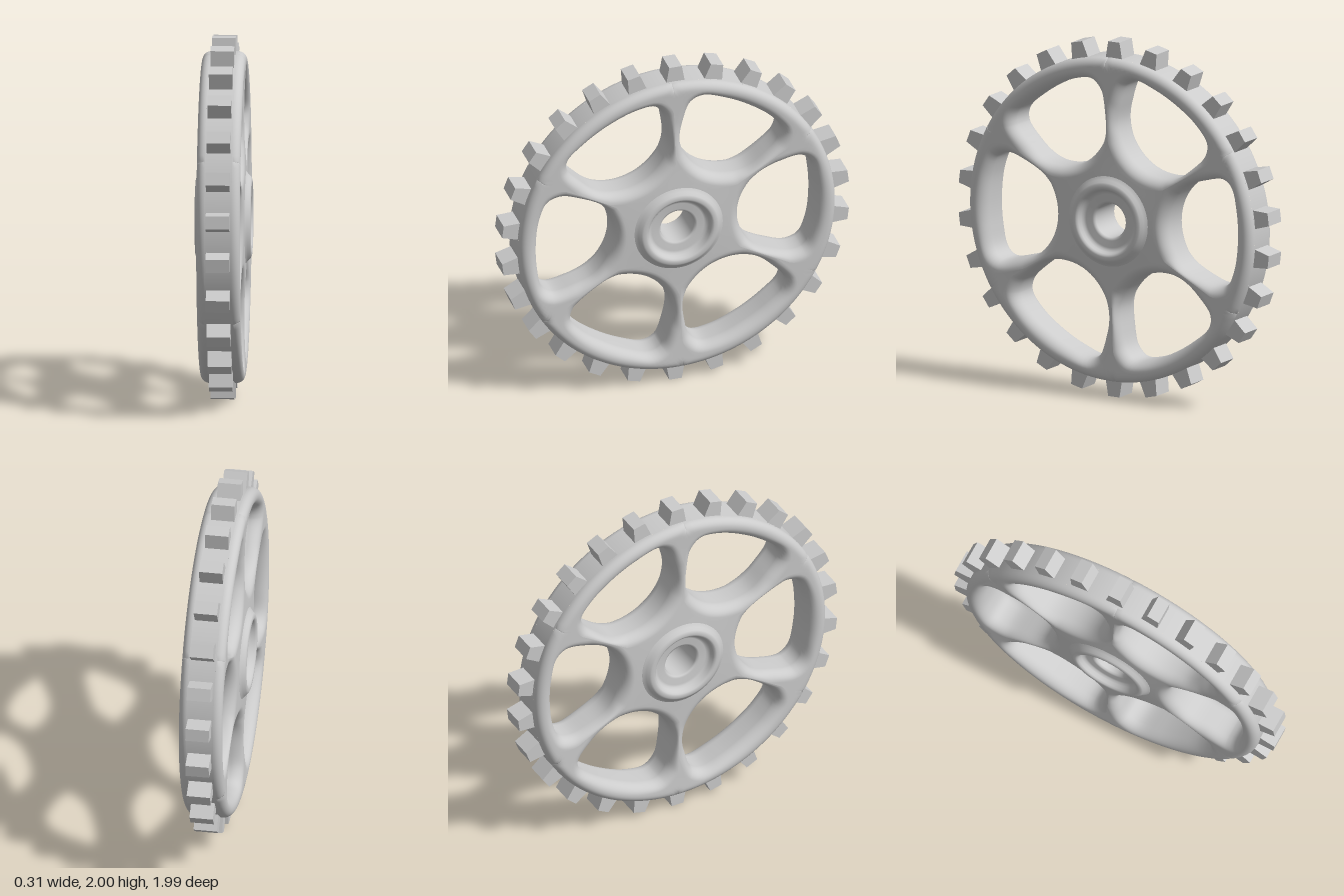
import * as THREE from 'three';
import { mergeVertices } from 'three/addons/utils/BufferGeometryUtils.js';

const TEETH = 26, SPOKES = 6, RIM = 0.91, HUB = 0.2, SKEW = 0.03;
const ARC = 28, SIDE = 28, INNER = 10;

// Outline of one window in wheel-plane coordinates (window centred on the u axis).
const windowPoints = [
  [0.353, 0.02], [0.385, 0.14], [0.47, 0.245], [0.59, 0.292], [0.71, 0.312],
  [0.768, 0.27], [0.797, 0.14], [0.803, -0.02], [0.785, -0.17], [0.742, -0.27],
  [0.67, -0.295], [0.56, -0.268], [0.44, -0.208], [0.373, -0.1],
];

// Half thickness of the wheel face by radius, with the rim's outer corner rounded.
function faceHeight(r) {
  const k = Math.min(Math.max((r - 0.24) / 0.62, 0), 1);
  const q = Math.min(Math.max((r - 0.865) / 0.045, 0), 1);
  return 0.123 - 0.003 * k - 0.01 * Math.sin(Math.PI * k) - 0.045 * (1 - Math.sqrt(1 - q * q));
}

// Border of one sixth of the wheel, counter-clockwise.
function sectorBorder() {
  const a0 = -Math.PI / SPOKES + SKEW, a1 = Math.PI / SPOKES + SKEW, pts = [];
  const run = (n, ra, rb, aa, ab) => {
    for (let i = 0; i < n; i++) {
      const r = ra + (rb - ra) * i / n, a = aa + (ab - aa) * i / n;
      pts.push([r * Math.cos(a), r * Math.sin(a)]);
    }
  };
  run(SIDE, HUB, RIM, a0, a0);
  run(ARC, RIM, RIM, a0, a1);
  run(SIDE, RIM, HUB, a1, a1);
  run(INNER, HUB, HUB, a1, a0);
  return pts;
}

// Rim, spokes and web: each sector is swept from its border to the window and round to the back.
function wheelGeometry() {
  const curve = new THREE.CatmullRomCurve3(
    windowPoints.map(([u, v]) => new THREE.Vector3(u, v, 0)), true, 'centripetal');
  const dense = curve.getPoints(1500);
  const cu = 0.6, cv = 0;
  const onWindow = (u, v) => {
    const dir = new THREE.Vector2(u - cu, v - cv).normalize();
    let best = dense[0], score = -2;
    for (const p of dense) {
      const s = ((p.x - cu) * dir.x + (p.y - cv) * dir.y) / Math.hypot(p.x - cu, p.y - cv);
      if (s > score) { score = s; best = p; }
    }
    return best;
  };

  const FLAT = 10, ROUND = 8, WALL = 0.05;
  const columns = sectorBorder().map(([u, v]) => {
    const h = onWindow(u, v);
    const len = Math.hypot(u - h.x, v - h.y), R = Math.min(0.055, len * 0.95);
    const half = [];
    const add = (d, lift) => {
      const s = d / len, pu = h.x + (u - h.x) * s, pv = h.y + (v - h.y) * s;
      half.push([WALL + (faceHeight(Math.hypot(pu, pv)) - WALL) * lift, pu, pv]);
    };
    for (let i = 0; i < FLAT; i++) add(R + (len - R) * (1 - (i / FLAT) ** 2), 1);
    for (let i = ROUND; i >= 0; i--) {
      const t = i / ROUND * Math.PI / 2;
      add(R * (1 - Math.cos(t)), Math.sin(t));
    }
    return half.concat(half.map(([x, pu, pv]) => [-x, pu, pv]).reverse());
  });

  const pos = [], index = [], rows = columns[0].length, n = columns.length;
  for (let k = 0; k < SPOKES; k++) {
    const c = Math.cos(k * 2 * Math.PI / SPOKES), s = Math.sin(k * 2 * Math.PI / SPOKES);
    const base = k * n * rows;
    columns.forEach((col, j) => {
      col.forEach(([x, u, v], i) => {
        pos.push(x, u * s + v * c, -(u * c - v * s));
        if (i === rows - 1) return;
        const a = base + j * rows + i, b = base + ((j + 1) % n) * rows + i;
        index.push(a, b, b + 1, a, b + 1, a + 1);
      });
    });
  }
  let geo = new THREE.BufferGeometry();
  geo.setAttribute('position', new THREE.Float32BufferAttribute(pos, 3));
  geo.setIndex(index);
  geo = mergeVertices(geo, 1e-4);
  geo.computeVertexNormals();
  return geo;
}

// Hub boss with a dished recess and a through bore, the same on both sides.
function hubGeometry() {
  const half = [
    [0.275, 0.112], [0.25, 0.124], [0.236, 0.135], [0.222, 0.149], [0.212, 0.154], [0.197, 0.155],
    [0.187, 0.152], [0.18, 0.143], [0.173, 0.125], [0.163, 0.114], [0.15, 0.11],
    [0.112, 0.108], [0.101, 0.104], [0.096, 0.094],
  ];
  const back = half.map(([r, x]) => [r, -x]).reverse();
  const profile = [...half, ...back, half[0]].map(([r, x]) => new THREE.Vector2(r, x));
  return new THREE.LatheGeometry(profile, 72).rotateZ(-Math.PI / 2);
}

// One tapered tooth pointing up.
function toothGeometry() {
  const bottom = 0.89, top = 1.0;
  const geo = new THREE.BoxGeometry(0.13, top - bottom, 0.11).translate(0, (top + bottom) / 2, 0);
  const p = geo.attributes.position;
  for (let i = 0; i < p.count; i++) if (p.getY(i) > 0.95) p.setZ(i, p.getZ(i) * 0.66);
  geo.computeVertexNormals();
  return geo;
}

export function createModel() {
  const model = new THREE.Group();
  model.name = 'sprocketWheel';
  const material = new THREE.MeshStandardMaterial({ color: 0xcccccc });
  const add = (name, geo, parent = model) => {
    const mesh = new THREE.Mesh(geo, material);
    mesh.name = name;
    parent.add(mesh);
    return mesh;
  };

  add('rimAndSpokes', wheelGeometry());
  add('hub', hubGeometry());

  // Outer band of the rim between the two rounded corners
  const band = new THREE.CylinderGeometry(RIM, RIM, 2 * faceHeight(RIM), ARC * SPOKES, 1, true);
  add('rimBand', band.rotateZ(Math.PI / 2).rotateX(-SKEW));

  const teeth = new THREE.Group();
  teeth.name = 'teeth';
  const tooth = toothGeometry();
  for (let i = 0; i < TEETH; i++) {
    add('tooth', tooth, teeth).rotation.x = i * 2 * Math.PI / TEETH;
  }
  model.add(teeth);

  // Stand the wheel on the ground
  model.children.forEach((part) => { part.position.y = 1; });
  return model;
}
